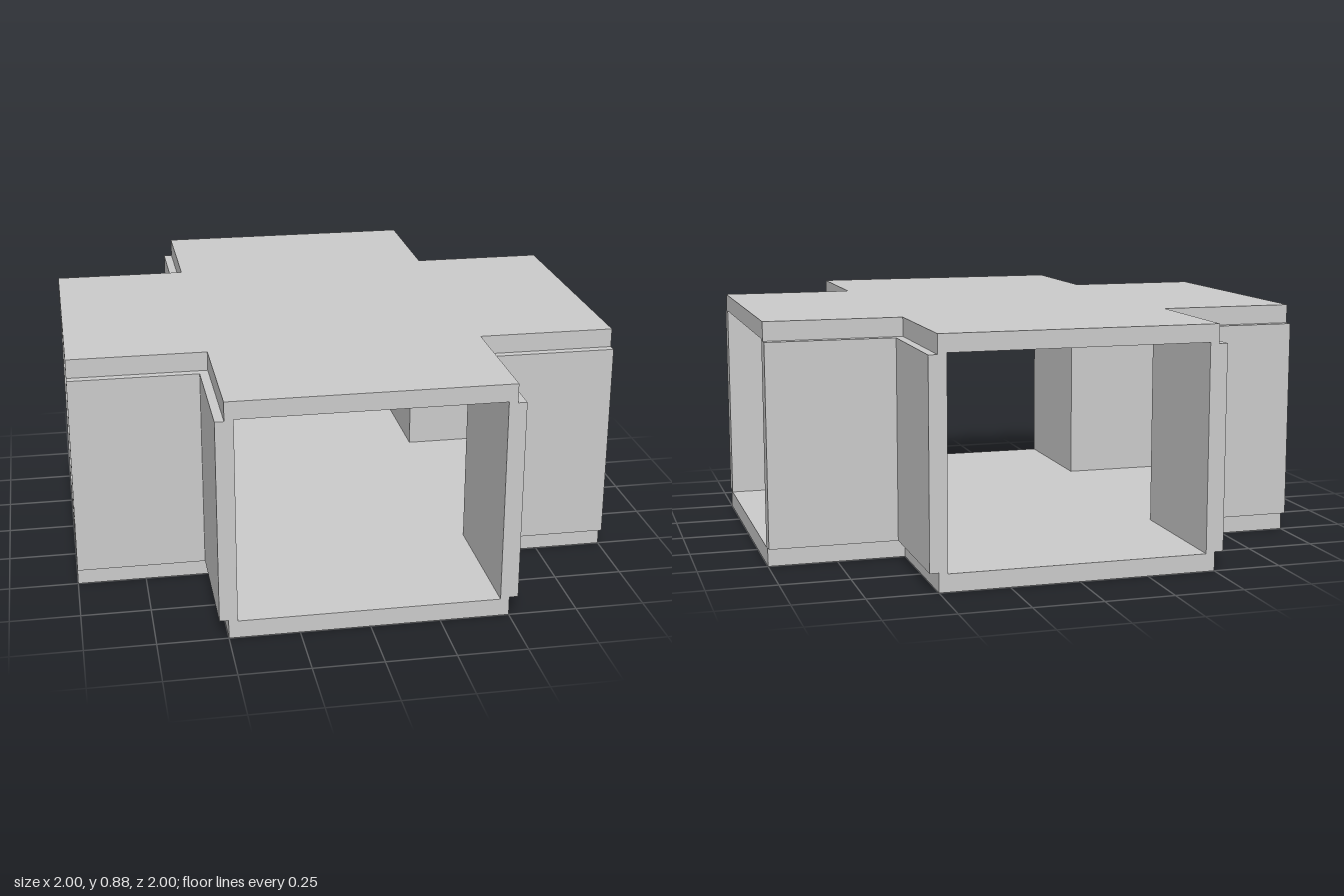
import * as THREE from 'three';

const HEIGHT = 0.876;  // overall height
const PLATE = 0.064;   // floor and roof thickness
const STEP = 0.069;    // height of the notch along the outer wall edges
const ARM = 0.5;       // half width of the floor and roof arms
const INNER = 0.468;   // inner wall face
const OUTER = 0.532;   // outer wall face

const material = new THREE.MeshStandardMaterial({ color: 0xcccccc, flatShading: true });

// Upright prism: plan outline in (x, z), between two heights
function prism(name, points, y0, y1) {
  const shape = new THREE.Shape(points.map(([x, z]) => new THREE.Vector2(x, -z)));
  const geometry = new THREE.ExtrudeGeometry(shape, { depth: y1 - y0, bevelEnabled: false });
  geometry.rotateX(-Math.PI / 2);
  geometry.translate(0, y0, 0);
  const mesh = new THREE.Mesh(geometry, material);
  mesh.name = name;
  return mesh;
}

// L-shaped plan of one corner wall, from face a to face b
const cornerPlan = (a, b) => [[a, a], [1, a], [1, b], [b, b], [b, 1], [a, 1]];

export function createModel() {
  const group = new THREE.Group();
  group.name = 'crossCorridor';

  // Cross-shaped floor and roof
  const w = ARM;
  const cross = [
    [w, 1], [w, w], [1, w], [1, -w], [w, -w], [w, -1],
    [-w, -1], [-w, -w], [-1, -w], [-1, w], [-w, w], [-w, 1],
  ];
  group.add(prism('floor', cross, 0, PLATE));
  group.add(prism('roof', cross, HEIGHT - PLATE, HEIGHT));

  // Four corner walls, stepped back where they meet the plates
  for (let i = 0; i < 4; i++) {
    const corner = new THREE.Group();
    corner.name = 'cornerWall' + (i + 1);
    corner.add(prism('wallPanel', cornerPlan(INNER, OUTER), STEP, HEIGHT - STEP));
    corner.add(prism('lowerWallLip', cornerPlan(INNER, ARM), PLATE, STEP));
    corner.add(prism('upperWallLip', cornerPlan(INNER, ARM), HEIGHT - STEP, HEIGHT - PLATE));
    corner.rotation.y = i * Math.PI / 2;
    group.add(corner);
  }
  return group;
}
